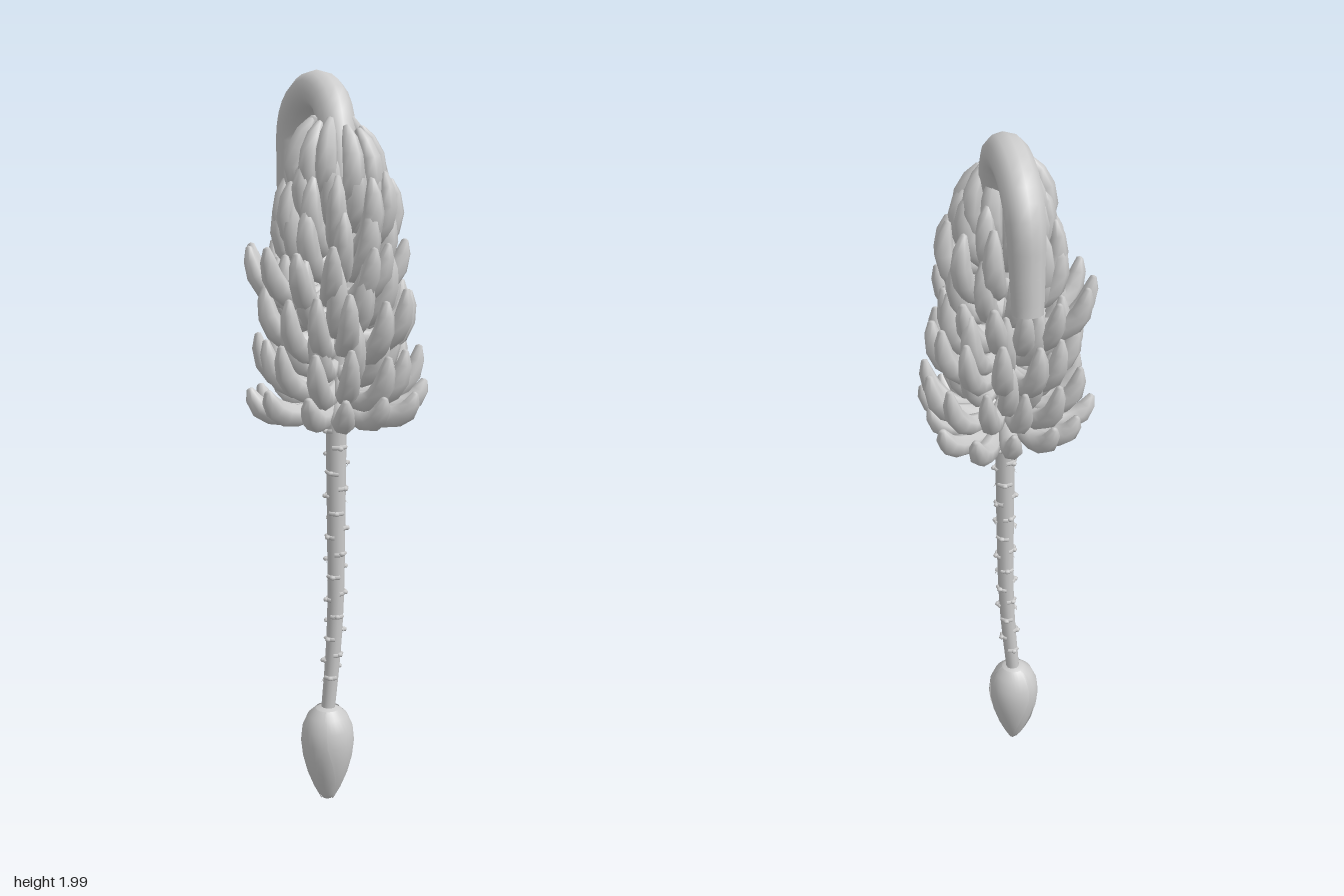
import * as THREE from 'three';
import { mergeVertices } from 'three/addons/utils/BufferGeometryUtils.js';

const V = (x, y, z) => new THREE.Vector3(x, y, z);
const { clamp, lerp } = THREE.MathUtils;
const material = new THREE.MeshStandardMaterial({ color: 0xcccccc });
const thinMaterial = new THREE.MeshStandardMaterial({ color: 0xcccccc, side: THREE.DoubleSide });

function seeded(seed) {
  return () => {
    seed = (seed * 16807) % 2147483647;
    return seed / 2147483647;
  };
}

// Tube whose radius follows radiusAt(u) along the curve
function taperedTube(curve, segments, sides, radiusAt) {
  const tube = new THREE.TubeGeometry(curve, segments, 1, sides);
  const pos = tube.attributes.position;
  const p = V(0, 0, 0);
  for (let i = 0; i <= segments; i++) {
    const u = i / segments;
    const c = curve.getPointAt(u);
    for (let j = 0; j <= sides; j++) {
      const k = i * (sides + 1) + j;
      p.fromBufferAttribute(pos, k).sub(c).multiplyScalar(radiusAt(u)).add(c);
      pos.setXYZ(k, p.x, p.y, p.z);
    }
  }
  tube.deleteAttribute('uv');
  tube.deleteAttribute('normal');
  const geo = mergeVertices(tube, 1e-5);
  geo.computeVertexNormals();
  return geo;
}

function add(parent, name, geometry, mat = material) {
  const mesh = new THREE.Mesh(geometry, mat);
  mesh.name = name;
  parent.add(mesh);
  return mesh;
}

// Centre of the hanging stalk at a given height
function axis(y) {
  const t = clamp((y - 0.28) / 0.4, 0, 1);
  const s = t * (2 - t);
  return V(-0.016 + 0.02 * s + 0.02 * Math.max(0, (y - 1.1) / 0.75), y, 0.076 + 0.009 * s);
}

// Fruit cross-sections as [position along fruit, radius]: neck, full body, blunt tip
const fruitRings = [
  [0, 0.011], [0.12, 0.018], [0.27, 0.025], [0.43, 0.028], [0.58, 0.029],
  [0.73, 0.027], [0.87, 0.021], [0.985, 0.009], [1, 0],
];

function fruit(outline, scale) {
  const curve = new THREE.CatmullRomCurve3(outline.map(([r, y]) => V(r, y, 0)));
  const n = fruitRings.length - 1;
  // Space the rings as listed instead of evenly
  const at = (t) => fruitRings[Math.round(t * n)][0];
  const spaced = new THREE.Curve();
  spaced.getPointAt = (t, out) => curve.getPoint(at(t), out);
  spaced.getTangentAt = (t, out) => curve.getTangent(at(t), out);
  return taperedTube(spaced, n, 7, (u) => fruitRings[Math.round(u * n)][1] * scale);
}

export function createModel() {
  const model = new THREE.Group();
  model.name = 'fruitBunch';
  const rand = seeded(4271);
  const jitter = (a) => (rand() * 2 - 1) * a;

  // Hooked stalk, thick at the cut end and thin at the flower bud
  const path = new THREE.CatmullRomCurve3([
    V(0.045, 1.633, -0.273), V(0.045, 1.75, -0.263), V(0.045, 1.85, -0.25), V(0.044, 1.92, -0.195),
    V(0.042, 1.95, -0.105), V(0.037, 1.92, -0.015), V(0.029, 1.83, 0.04), V(0.022, 1.7, 0.075),
    axis(1.4), axis(1.1), axis(0.8), axis(0.6), axis(0.45), axis(0.27),
  ]);
  const stalkRadius = (u) => {
    if (u < 0.26) return 0.039 + 0.011 * Math.min(1, u / 0.12);
    return u < 0.5 ? lerp(0.05, 0.031, (u - 0.26) / 0.24) : lerp(0.031, 0.019, (u - 0.5) / 0.5);
  };
  add(model, 'stalk', taperedTube(path, 70, 12, stalkRadius));
  const cut = add(model, 'stalkCutEnd', new THREE.CircleGeometry(0.039, 12));
  cut.position.copy(path.getPointAt(0));
  cut.lookAt(cut.position.clone().sub(path.getTangentAt(0)));

  // Tiers of fruit: outline is [distance from stalk, height], shift moves the tier in x and z
  const tiers = [
    { n: 13, shift: [0, 0], outline: [[0.02, 1.16], [0.08, 1.135], [0.15, 1.13], [0.2, 1.155], [0.222, 1.205]] },
    { n: 13, shift: [0, 0], outline: [[0.02, 1.21], [0.08, 1.185], [0.14, 1.195], [0.185, 1.245], [0.2, 1.32]] },
    { n: 10, shift: [0, 0], outline: [[0.02, 1.26], [0.07, 1.24], [0.115, 1.265], [0.14, 1.33], [0.14, 1.4]] },
    { n: 14, shift: [0, -0.01], outline: [[0.02, 1.33], [0.09, 1.305], [0.15, 1.325], [0.188, 1.385], [0.195, 1.46]] },
    { n: 11, shift: [0, -0.01], outline: [[0.02, 1.39], [0.08, 1.365], [0.125, 1.395], [0.15, 1.46], [0.15, 1.54]] },
    { n: 13, shift: [-0.03, -0.02], outline: [[0.02, 1.45], [0.08, 1.425], [0.135, 1.445], [0.175, 1.5], [0.19, 1.57]] },
    { n: 11, shift: [-0.005, -0.02], outline: [[0.02, 1.52], [0.07, 1.495], [0.115, 1.525], [0.14, 1.595], [0.135, 1.67]] },
    { n: 12, shift: [0, -0.03], outline: [[0.02, 1.58], [0.08, 1.56], [0.125, 1.595], [0.148, 1.665], [0.135, 1.745]] },
    { n: 10, shift: [-0.005, -0.02], outline: [[0.02, 1.64], [0.06, 1.625], [0.095, 1.665], [0.11, 1.735], [0.095, 1.8]] },
    { n: 10, shift: [-0.015, -0.01], outline: [[0.02, 1.68], [0.065, 1.68], [0.097, 1.73], [0.092, 1.805], [0.057, 1.873]] },
  ];
  tiers.forEach(({ n, shift, outline }, t) => {
    const hand = new THREE.Group();
    hand.name = 'fruitTier' + (t + 1);
    const c = axis(outline[0][1]);
    hand.position.set(c.x + shift[0], 0, c.z + shift[1]);
    model.add(hand);
    for (let i = 0; i < n; i++) {
      const reach = 1 + jitter(0.07);
      const lift = jitter(0.016);
      const f = add(hand, 'fruit', fruit(outline.map(([r, y]) => [r * reach, y + lift]), 1 + jitter(0.06)));
      f.rotation.y = ((i + (t % 2) * 0.5 + jitter(0.16)) / n) * Math.PI * 2 + t * 0.35;
    }
  });

  // Ridged scars spiralling down the bare stalk
  const scars = new THREE.Group();
  scars.name = 'stalkScars';
  model.add(scars);
  for (let i = 0; i < 34; i++) {
    const y = 1.1 - i * 0.0225;
    const c = axis(y);
    const r = 0.019 + 0.009 * (y - 0.3);
    const scar = add(scars, 'scar', new THREE.TorusGeometry(r + 0.002, 0.006, 5, 7, 1.5));
    scar.position.copy(c);
    scar.rotation.set(Math.PI / 2 + jitter(0.15), 0, i * 2.4);
    const nub = add(scars, 'nub', new THREE.SphereGeometry(0.009, 6, 4));
    const a = i * 2.4 + 0.75;
    nub.position.set(c.x + Math.cos(a) * (r + 0.005), y, c.z + Math.sin(a) * (r + 0.005));
    nub.scale.y = 0.7;
  }

  // Flower bud with overlapping bracts
  const budProfile = [
    [0, 0.008], [0.015, 0.014], [0.034, 0.05], [0.052, 0.095], [0.065, 0.145],
    [0.07, 0.19], [0.066, 0.23], [0.051, 0.265], [0.03, 0.285], [0, 0.292],
  ].map(([r, y]) => new THREE.Vector2(r, y));
  const bud = new THREE.Group();
  bud.name = 'flowerBud';
  bud.position.set(-0.017, 0, 0.077);
  model.add(bud);
  add(bud, 'budCore', new THREE.LatheGeometry(new THREE.SplineCurve(budProfile).getPoints(18), 18));
  for (let i = 0; i < 3; i++) {
    // Each bract narrows towards the tip of the bud
    const geo = new THREE.LatheGeometry(budProfile.slice(1, 9), 10, -1, 2);
    const pos = geo.attributes.position;
    for (let k = 0; k < pos.count; k++) {
      const x = pos.getX(k), y = pos.getY(k), z = pos.getZ(k);
      const r = Math.hypot(x, z) + 0.004;
      const a = Math.atan2(x, z) * Math.min(1, 0.2 + y * 4);
      pos.setXYZ(k, Math.sin(a) * r, y, Math.cos(a) * r);
    }
    geo.computeVertexNormals();
    add(bud, 'bract', geo, thinMaterial).rotation.y = i * 2.09 + 0.5;
  }
  return model;
}
